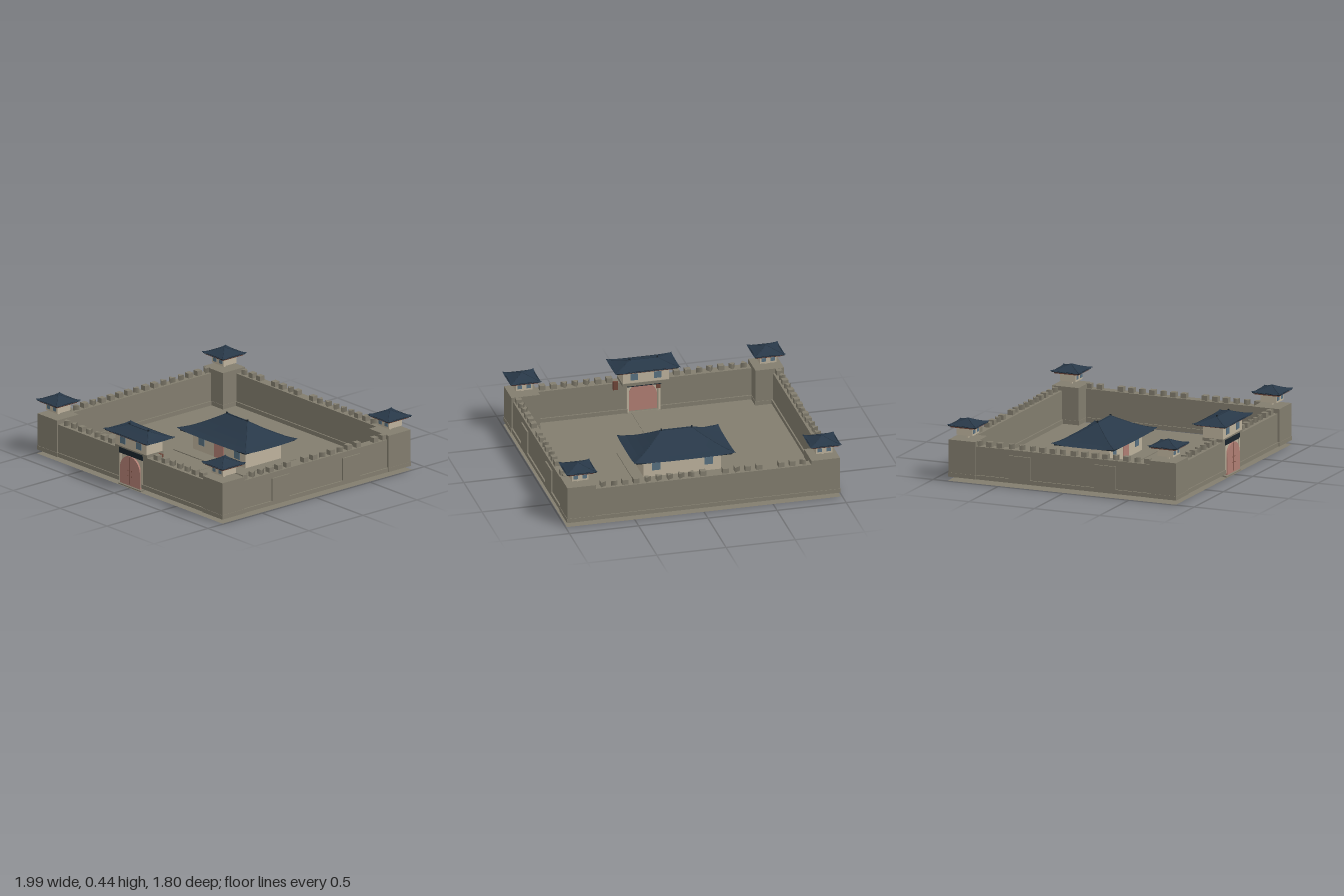
import * as THREE from 'three';

const mat = (name, color, side = THREE.FrontSide) => {
  const m = new THREE.MeshStandardMaterial({ color, side });
  m.name = name;
  return m;
};

export function createModel() {
  const stone = mat('stone', 0x827d6e, THREE.DoubleSide);
  const plaster = mat('plaster', 0xbdb29c);
  const tile = mat('roof tile', 0x283848, THREE.DoubleSide);
  const ridgeTile = mat('ridge tile', 0x1a242d);
  const wood = mat('wood', 0x6e4538);
  const door = mat('door', 0xb07e73);
  const glass = mat('window', 0x587080);

  const model = new THREE.Group();
  model.name = 'walledCourtyard';

  const add = (parent, name, geo, material) => {
    const m = new THREE.Mesh(geo, material);
    m.name = name;
    parent.add(m);
    return m;
  };
  // Box given by its limits on each axis
  const box = (parent, name, material, x0, x1, y0, y1, z0, z1) => {
    const m = add(parent, name, new THREE.BoxGeometry(x1 - x0, y1 - y0, z1 - z0), material);
    m.position.set((x0 + x1) / 2, (y0 + y1) / 2, (z0 + z1) / 2);
    return m;
  };
  const group = (name, x, y, z) => {
    const g = new THREE.Group();
    g.name = name;
    g.position.set(x, y, z);
    model.add(g);
    return g;
  };

  // Hipped roof with a slight sag and lifted corners
  function hipRoof(parent, w, d, ridge, y, rise, lift) {
    const point = (side, u, t) => {
      const hw = THREE.MathUtils.lerp(w, ridge, t), hd = d * (1 - t);
      const h = y + rise * t ** 1.2 + lift * u ** 4 * (1 - t) ** 3;
      return [[u * hw, h, hd], [hw, h, -u * hd], [-u * hw, h, -hd], [-hw, h, u * hd]][side];
    };
    const pos = [], N = 6, M = 5;
    for (let s = 0; s < 4; s++)
      for (let i = 0; i < N; i++)
        for (let j = 0; j < M; j++) {
          const u0 = -1 + 2 * i / N, u1 = -1 + 2 * (i + 1) / N, t0 = j / M, t1 = (j + 1) / M;
          const a = point(s, u0, t0), b = point(s, u1, t0), c = point(s, u1, t1), e = point(s, u0, t1);
          pos.push(...a, ...b, ...c, ...a, ...c, ...e);
        }
    const geo = new THREE.BufferGeometry();
    geo.setAttribute('position', new THREE.Float32BufferAttribute(pos, 3));
    geo.computeVertexNormals();
    add(parent, 'roof', geo, tile);
    // Ridge and hip tiles
    for (let s = 0; s < 4; s++) {
      const pts = [0, 0.25, 0.5, 0.75, 1].map(t => new THREE.Vector3(...point(s, 1, t)));
      add(parent, 'hipTile', new THREE.TubeGeometry(new THREE.CatmullRomCurve3(pts), 8, 0.003, 5), tile);
    }
    if (ridge > 0.02) {
      box(parent, 'ridge', tile, -ridge, ridge, y + rise - 0.006, y + rise + 0.003, -0.004, 0.004);
      for (const s of [-1, 1])
        box(parent, 'ridgeEnd', ridgeTile, s * ridge - 0.005, s * ridge + 0.005, y + rise - 0.005, y + rise + 0.01, -0.005, 0.005);
    }
    // Eave board and bracket beam
    box(parent, 'eave', ridgeTile, -w * 0.95, w * 0.95, y - 0.004, y + 0.003, -d * 0.95, d * 0.95);
    box(parent, 'beam', wood, -w * 0.84, w * 0.84, y - 0.014, y - 0.004, -d * 0.84, d * 0.84);
  }

  // Thin pane on the front and back walls
  const panes = (parent, name, material, x, w, y0, y1, d) => {
    for (const s of [-1, 1])
      box(parent, name, material, x - w / 2, x + w / 2, y0, y1, s * d - 0.003, s * d + 0.003);
  };

  // Ground sheet, plinth strips and curtain walls
  const ground = add(model, 'ground', new THREE.PlaneGeometry(1.98, 1.75), stone);
  ground.rotation.x = -Math.PI / 2;
  ground.position.set(0, 0.001, -0.018);
  box(model, 'backWall', stone, -0.97, 0.97, 0.03, 0.265, -0.88, -0.81);
  box(model, 'backPlinth', stone, -0.98, 0.98, 0.03, 0.06, -0.887, -0.8);
  for (const s of [-1, 1]) {
    const span = (name, a, b, ...r) => box(model, name, stone, Math.min(s * a, s * b), Math.max(s * a, s * b), ...r);
    span('sideWall', 0.905, 0.972, 0.03, 0.265, -0.85, 0.82);
    span('sidePlinth', 0.895, 0.983, 0.03, 0.06, -0.85, 0.82);
    span('frontWall', 0.12, 0.97, 0.03, 0.265, 0.765, 0.842);
    span('frontPlinth', 0.12, 0.97, 0.03, 0.06, 0.755, 0.85);
    for (const z of [0.31, -0.345]) span('buttress', 0.96, 0.983, 0.03, 0.225, z - 0.08, z + 0.08);
  }

  // Battlements: # is a block, < > ^ v are wedges, space is a gap
  function battlements(pattern, x, z, dx, dz) {
    const turn = { v: 0, '>': 1, '^': 2, '<': 3 };
    [...pattern].forEach((c, i) => {
      if (c === ' ') return;
      const geo = c === '#' ? new THREE.BoxGeometry(0.042, 0.036, 0.042)
        : new THREE.CylinderGeometry(0.027, 0.027, 0.036, 3);
      const m = add(model, 'merlon', geo, stone);
      m.position.set(x + dx * i, 0.282, z + dz * i);
      if (c !== '#') m.rotation.y = turn[c] * Math.PI / 2;
    });
  }
  battlements('>## ##<# #><<<<##v<', -0.73, -0.845, 0.0806, 0);
  battlements('v^#^v##', -0.73, 0.803, 0.0806, 0);
  battlements('##^^^##', 0.24, 0.803, 0.0806, 0);
  battlements('<##<<<##>####^#v#', -0.94, -0.67, 0, 0.0806);
  battlements('## ##v#v## ###^^#', 0.94, -0.67, 0, 0.0806);

  // Corner towers with small watch houses
  for (const x of [-0.882, 0.882])
    for (const z of [-0.785, 0.752]) {
      const g = group('cornerTower', x, 0, z);
      box(g, 'towerBase', stone, -0.103, 0.103, 0.03, 0.297, -0.102, 0.102);
      box(g, 'towerFoot', stone, -0.106, 0.106, 0.03, 0.06, -0.105, 0.105);
      box(g, 'post', plaster, -0.008, 0.008, 0.297, 0.33, -0.008, 0.008);
      box(g, 'watchHouse', plaster, -0.06, 0.06, 0.326, 0.385, -0.06, 0.06);
      for (const s of [-0.032, 0.032]) panes(g, 'watchWindow', glass, s, 0.032, 0.34, 0.367, 0.06);
      hipRoof(g, 0.111, 0.11, 0, 0.397, 0.043, 0.006);
    }

  // Gatehouse above the entrance
  const gate = group('gatehouse', 0, 0, 0.77);
  box(gate, 'lintel', ridgeTile, -0.125, 0.125, 0.235, 0.275, -0.03, 0.078);
  box(gate, 'gateFloor', stone, -0.17, 0.17, 0.265, 0.287, -0.08, 0.075);
  box(gate, 'gateRoom', plaster, -0.165, 0.165, 0.285, 0.38, -0.075, 0.075);
  for (const x of [-0.085, 0.085]) panes(gate, 'gateWindow', glass, x, 0.055, 0.308, 0.357, 0.075);
  hipRoof(gate, 0.235, 0.127, 0.1, 0.388, 0.043, 0.006);
  for (const s of [-1, 1]) box(gate, 'gatePost', plaster, s * 0.114 - 0.008, s * 0.114 + 0.008, 0.03, 0.24, -0.01, 0.078);
  box(gate, 'gateBack', plaster, -0.11, 0.11, 0.03, 0.24, 0.03, 0.07);
  const arch = new THREE.Shape();
  arch.moveTo(-0.106, 0.02).lineTo(0.106, 0.02).lineTo(0.106, 0.13);
  arch.absarc(0, 0.13, 0.106, 0, Math.PI, false);
  const leaf = add(gate, 'gateDoor', new THREE.ExtrudeGeometry(arch, { depth: 0.06, bevelEnabled: false, curveSegments: 12 }), door);
  leaf.position.z = 0.024;
  box(gate, 'doorSeam', wood, -0.001, 0.001, 0.03, 0.23, 0.083, 0.086);
  for (const s of [-1, 1])
    for (const y of [0.09, 0.13])
      box(gate, 'doorStud', wood, s * 0.02 - 0.003, s * 0.02 + 0.003, y - 0.003, y + 0.003, 0.083, 0.087);
  box(gate, 'signBoard', wood, 0.19, 0.225, 0.225, 0.288, -0.03, -0.015);
  box(gate, 'innerBoard', wood, -0.12, -0.09, 0.195, 0.24, -0.012, 0);

  // Sloping entrance step
  const ramp = new THREE.Shape();
  ramp.moveTo(0.75, 0.026).lineTo(0.84, 0.004).lineTo(0.855, 0.004).lineTo(0.855, 0.012).lineTo(0.77, 0.032);
  const step = add(model, 'entranceStep', new THREE.ExtrudeGeometry(ramp, { depth: 0.24, bevelEnabled: false }), stone);
  step.rotation.y = -Math.PI / 2;
  step.position.x = 0.12;

  // Path and main hall
  box(model, 'path', stone, -0.09, 0.09, 0.027, 0.03, 0.14, 0.77);
  const hall = group('mainHall', 0, 0, -0.138);
  box(hall, 'terrace', stone, -0.36, 0.36, 0.028, 0.034, -0.238, 0.278);
  box(hall, 'hallWalls', plaster, -0.28, 0.28, 0.034, 0.17, -0.165, 0.165);
  for (const x of [-0.19, 0.19]) panes(hall, 'hallWindow', glass, x, 0.06, 0.08, 0.135, 0.165);
  box(hall, 'hallDoor', door, -0.05, 0.05, 0.034, 0.145, 0.162, 0.169);
  hipRoof(hall, 0.365, 0.24, 0.11, 0.17, 0.132, 0.012);

  return model;
}
